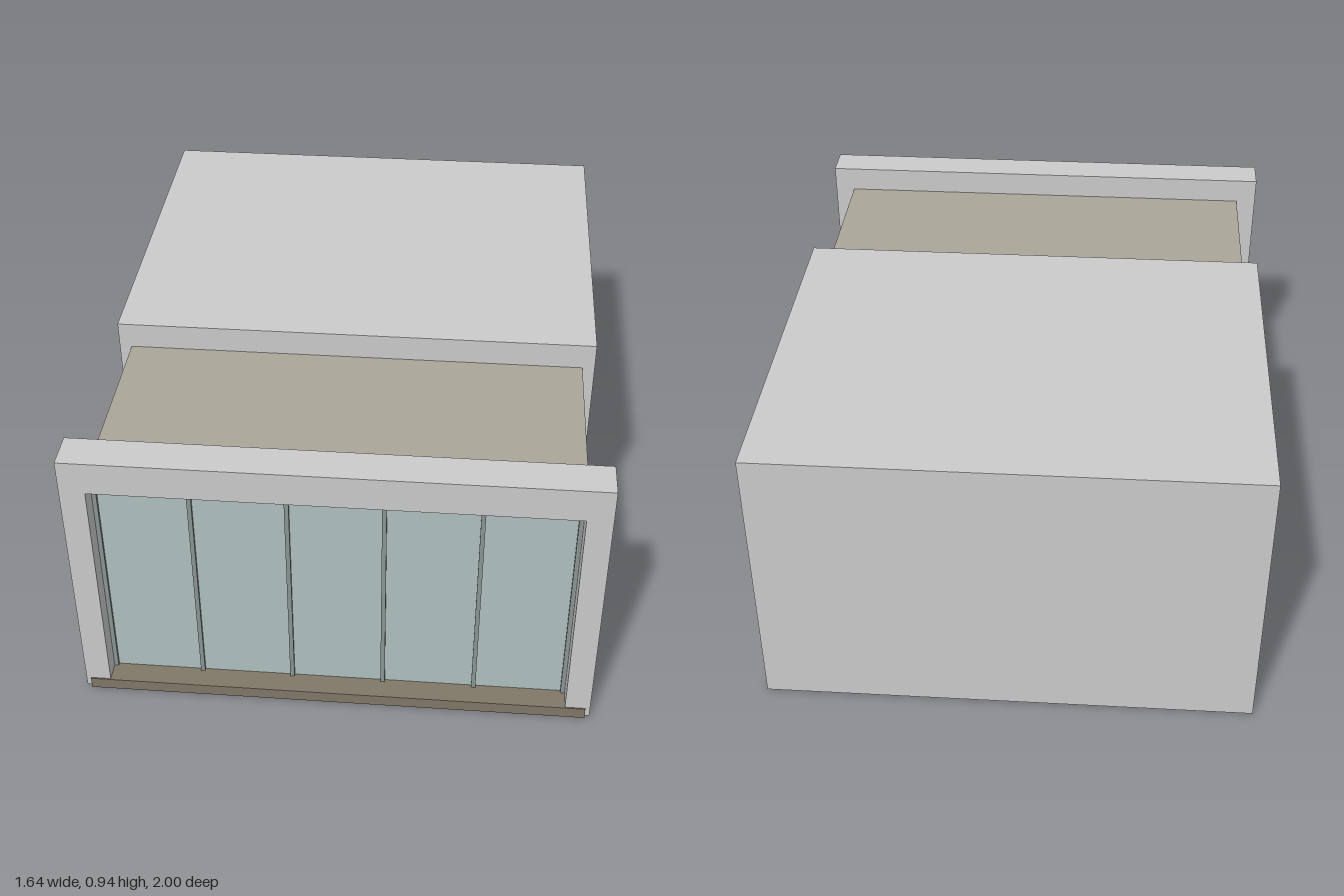
import * as THREE from 'three';

const material = (color) => new THREE.MeshStandardMaterial({ color });

// Box given by its minimum and maximum corners
function box(name, mat, [x0, y0, z0], [x1, y1, z1]) {
  const mesh = new THREE.Mesh(new THREE.BoxGeometry(x1 - x0, y1 - y0, z1 - z0), mat);
  mesh.position.set((x0 + x1) / 2, (y0 + y1) / 2, (z0 + z1) / 2);
  mesh.name = name;
  return mesh;
}

export function createModel() {
  const model = new THREE.Group();
  model.name = 'glazedExtension';
  const grey = material(0xcccccc);
  const wallMat = material(0xaaa699);
  const sillMat = material(0x807868);
  const barMat = material(0x8c9494);
  const glassMat = material(0xafc0c0);

  // Large rear block and the narrower link in front of it
  model.add(box('rearBlock', grey, [-0.79, 0, -1], [0.79, 0.94, 0.255]));
  model.add(box('linkRoom', wallMat, [-0.75, 0.002, 0.25], [0.75, 0.853, 0.9]));

  // Three-sided surround, open at the bottom
  const outline = new THREE.Shape([
    [-0.82, 0.008], [-0.74, 0.008], [-0.74, 0.828], [0.74, 0.828],
    [0.74, 0.008], [0.82, 0.008], [0.82, 0.94], [-0.82, 0.94],
  ].map(([x, y]) => new THREE.Vector2(x, y)));
  const surround = new THREE.Mesh(
    new THREE.ExtrudeGeometry(outline, { depth: 0.122, bevelEnabled: false }), grey);
  surround.position.z = 0.874;
  surround.name = 'surround';
  model.add(surround);

  // Sill running under the surround
  model.add(box('sill', sillMat, [-0.805, 0, 0.862], [0.805, 0.04, 1]));

  // Glazing set back in the opening, split into five panes by bars
  const glazing = new THREE.Group();
  glazing.name = 'glazing';
  const pitch = 1.48 / 5;
  for (let i = 0; i < 5; i++) {
    const x = -0.74 + i * pitch;
    glazing.add(box('pane', glassMat, [x, 0.03, 0.905], [x + pitch, 0.82, 0.925]));
  }
  for (let i = 0; i <= 5; i++) {
    const x = THREE.MathUtils.clamp(-0.74 + i * pitch, -0.733, 0.733);
    glazing.add(box('mullion', barMat, [x - 0.007, 0.03, 0.9], [x + 0.007, 0.815, 0.935]));
  }
  glazing.add(box('headRail', barMat, [-0.74, 0.813, 0.9], [0.74, 0.828, 0.935]));
  model.add(glazing);

  return model;
}
